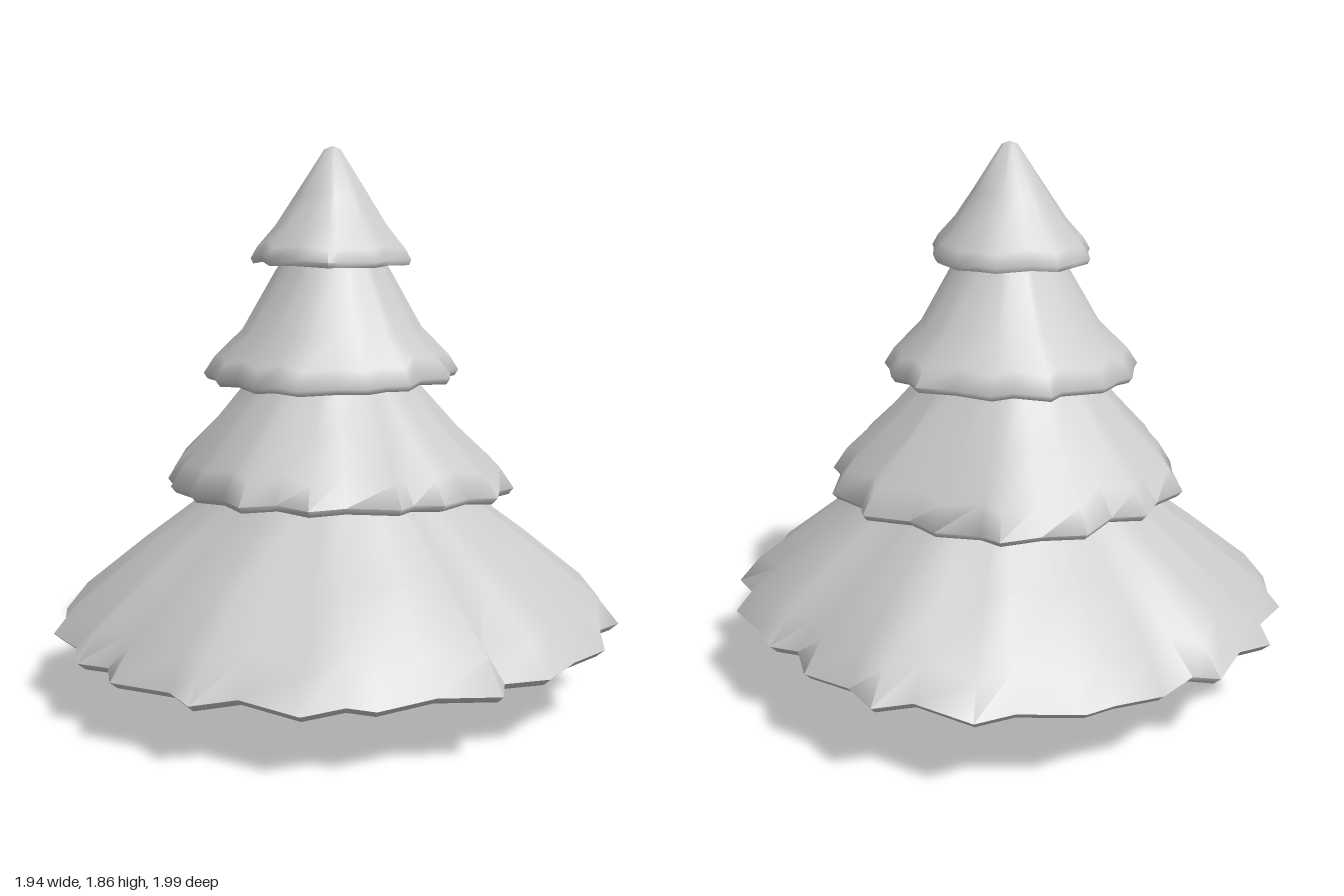
import * as THREE from 'three';
import { toCreasedNormals } from 'three/addons/utils/BufferGeometryUtils.js';

const foliage = new THREE.MeshStandardMaterial({ color: 0xcccccc });
const bark = new THREE.MeshStandardMaterial({ color: 0x21160a });

// Each tier: rim radii every 30 degrees (from +x towards +z), number of branch
// tips, centre z, rim height, height of the apex above it, share of that height
// where the slope reaches 70% of the radius, and tilt along z.
const tiers = [
  { name: 'bottomBranches', tips: 20, cz: 0, y: 0.245, height: 0.79, mid: 0.34, tilt: -0.035,
    radii: [0.97, 0.98, 0.985, 0.99, 0.95, 1, 0.97, 0.95, 1, 1, 0.92, 0.95] },
  { name: 'lowerMiddleBranches', tips: 16, cz: 0.05, y: 0.72, height: 0.66, mid: 0.31, tilt: 0.05,
    radii: [0.61, 0.57, 0.63, 0.63, 0.57, 0.54, 0.63, 0.63, 0.67, 0.61, 0.645, 0.63] },
  { name: 'upperMiddleBranches', tips: 14, cz: 0.03, y: 1.105, height: 0.6, mid: 0.25, tilt: -0.03,
    radii: [0.43, 0.41, 0.42, 0.44, 0.42, 0.44, 0.45, 0.46, 0.46, 0.45, 0.46, 0.43] },
  { name: 'crown', tips: 10, cz: 0.035, y: 1.49, height: 0.37, mid: 0.29, tilt: 0,
    radii: [0.29, 0.3, 0.3, 0.28, 0.28, 0.28, 0.29, 0.29, 0.28, 0.275, 0.29, 0.26] },
];

function seededRandom(seed) {
  let state = seed;
  return () => (state = (state * 16807) % 2147483647) / 2147483647;
}

// Ragged rim: uneven branch tips with a fold of random depth after each one
function rimPoints({ radii, tips }, seed) {
  const random = seededRandom(seed);
  const count = tips * 2;
  return Array.from({ length: count }, (_, i) => {
    const isFold = i % 2 === 1;
    const isCardinal = i % (count / 4) === 0;
    const shift = isCardinal ? 0 : (random() - 0.5) * 0.7;
    const turn = ((i + shift) / count) * 12, k = Math.floor(turn);
    const base = THREE.MathUtils.lerp(radii[k], radii[(k + 1) % 12], turn - k);
    const trim = isCardinal ? 0 : random() * 0.04 + (isFold ? 0.015 : -0.015);
    return {
      angle: (turn / 12) * Math.PI * 2,
      radius: base * (1 - trim),
      crease: isFold ? random() * 0.09 : 0,
      lift: isFold ? random() * 0.03 : 0,
    };
  });
}

// Loft the rings, from the apex over the rim to the hollowed underside
function tierGeometry(tier, seed) {
  const points = rimPoints(tier, seed), n = points.length;
  const mean = points.reduce((sum, p) => sum + p.radius, 0) / n;
  const { height, mid } = tier;
  const lip = 0.015 + mean * 0.01;
  const rings = [ // share of rim radius, height above rim, strength of the folds
    [0, height, 0], [0.1, height * 0.97, 0], [0.45, height * 0.57, 0.2], [0.7, height * mid, 0.6],
    [0.92, height * mid * 0.36, 1], [1, 0, 0.4], [0.97, -lip, 0.4],
    [0.8, 0, 0], [0, mean * 0.07, 0],
  ];

  const position = [], index = [];
  for (const [s, h, fold] of rings) {
    for (const p of points) {
      // the rim's raggedness fades into a round section towards the top
      const ragged = THREE.MathUtils.lerp(mean, p.radius, Math.min(1, 0.25 + s * 0.8));
      const r = s * ragged * (1 - p.crease * fold);
      const z = tier.cz + Math.sin(p.angle) * r;
      const lift = s > 0.9 ? p.lift * fold : 0;
      position.push(Math.cos(p.angle) * r, tier.y + h + lift + tier.tilt * z, z);
    }
  }
  for (let j = 0; j < rings.length - 1; j++) {
    for (let i = 0; i < n; i++) {
      const k = (i + 1) % n, hi = j * n, lo = hi + n;
      if (rings[j + 1][0] > 0) index.push(lo + i, hi + i, lo + k);
      if (rings[j][0] > 0) index.push(hi + i, hi + k, lo + k);
    }
  }
  const geometry = new THREE.BufferGeometry();
  geometry.setAttribute('position', new THREE.Float32BufferAttribute(position, 3));
  geometry.setIndex(index);
  return toCreasedNormals(geometry, 1.4);
}

export function createModel() {
  const tree = new THREE.Group();
  tree.name = 'firTree';

  tiers.forEach((tier, i) => {
    const mesh = new THREE.Mesh(tierGeometry(tier, 1234567 * (i + 1)), foliage);
    mesh.name = tier.name;
    tree.add(mesh);
  });

  // Trunk reaching up into the lowest branches
  const trunk = new THREE.Mesh(new THREE.CylinderGeometry(0.108, 0.108, 0.4, 16), bark);
  trunk.name = 'trunk';
  trunk.position.set(-0.005, 0.2, 0.035);
  tree.add(trunk);
  return tree;
}
